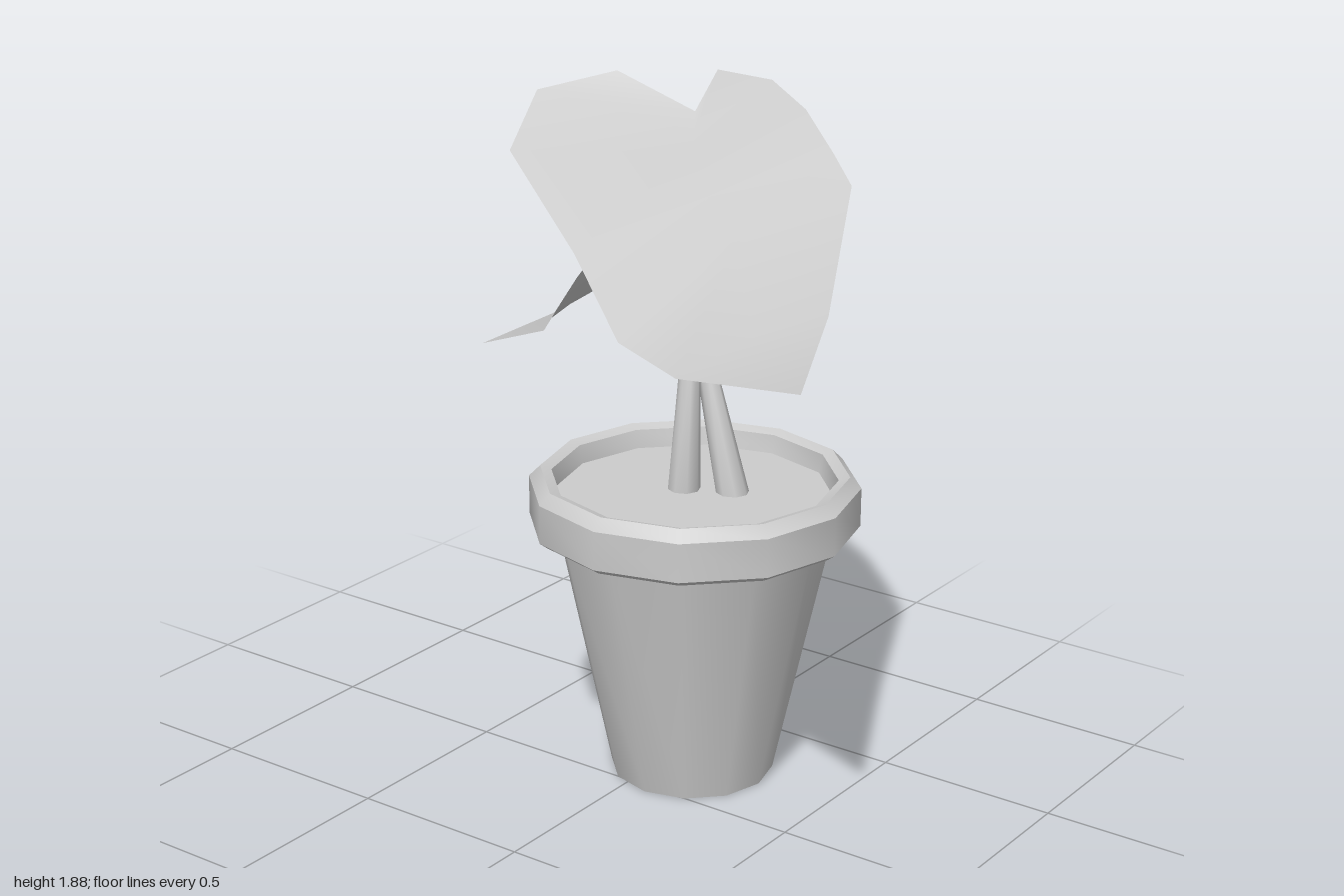
import * as THREE from 'three';
import { toCreasedNormals } from 'three/addons/utils/BufferGeometryUtils.js';

const material = new THREE.MeshStandardMaterial({ color: 0xcccccc, side: THREE.DoubleSide });

function addMesh(group, name, geometry) {
  const mesh = new THREE.Mesh(geometry, material);
  mesh.name = name;
  group.add(mesh);
  return mesh;
}

function indexed(positions, index) {
  const g = new THREE.BufferGeometry();
  g.setAttribute('position', new THREE.Float32BufferAttribute(positions, 3));
  g.setIndex(index);
  g.computeVertexNormals();
  return g;
}

// Twelve-sided turned part from a [radius, y] profile
function turned(profile) {
  const g = new THREE.LatheGeometry(profile.map(([r, y]) => new THREE.Vector2(r, y)), 12);
  return toCreasedNormals(g, 0.6);
}

// Bent stem: rings of [x, y, z, radius]; the last ring is square to endNormal
function stem(rings, endNormal, sides = 8) {
  const pts = rings.map(([x, y, z]) => new THREE.Vector3(x, y, z));
  const positions = [], index = [];
  pts.forEach((p, i) => {
    const last = i === pts.length - 1;
    const t = last
      ? new THREE.Vector3(...endNormal).normalize()
      : pts[i + 1].clone().sub(p).normalize();
    if (i > 0 && !last) t.add(p.clone().sub(pts[i - 1]).normalize()).normalize();
    const u = new THREE.Vector3(0, 0, 1).cross(t).normalize();
    const v = t.clone().cross(u);
    for (let j = 0; j < sides; j++) {
      const a = (j / sides) * Math.PI * 2;
      const q = p.clone()
        .addScaledVector(u, Math.cos(a) * rings[i][3])
        .addScaledVector(v, Math.sin(a) * rings[i][3]);
      positions.push(q.x, q.y, q.z);
      if (last) continue;
      const k = (j + 1) % sides, b = i * sides, c = b + sides;
      index.push(b + j, b + k, c + k, b + j, c + k, c + j);
    }
  });
  return toCreasedNormals(indexed(positions, index), 0.9);
}

// Leaf blade: matching points on left edge, midrib and right edge, closed at the tip
function leaf(left, mid, right, tip) {
  const positions = [], index = [], n = mid.length;
  for (let i = 0; i < n; i++) positions.push(...left[i], ...mid[i], ...right[i]);
  positions.push(...tip);
  for (let i = 0; i < n; i++) {
    for (let s = 0; s < 2; s++) {
      const a = i * 3 + s, b = a + 1;
      if (i === n - 1) index.push(a, n * 3, b);
      else index.push(a, a + 3, b, b, a + 3, b + 3);
    }
  }
  return indexed(positions, index);
}

export function createModel() {
  const plant = new THREE.Group();
  plant.name = 'pottedPlant';

  // Pot with a thick bevelled rim, and the soil inside
  const pot = new THREE.Group();
  pot.name = 'pot';
  pot.position.set(0.07, 0, -0.19);
  plant.add(pot);
  addMesh(pot, 'potBody', turned([[0, 0], [0.22, 0], [0.37, 0.7]]));
  addMesh(pot, 'potRim', turned([
    [0.365, 0.7], [0.42, 0.7], [0.44, 0.715], [0.44, 0.82],
    [0.41, 0.85], [0.38, 0.84], [0.37, 0.79],
  ]));
  addMesh(pot, 'soil', turned([[0.375, 0.79], [0, 0.79]]));

  // Stems, each flaring where it meets its leaf
  addMesh(plant, 'lowerStem', stem([
    [0.03, 0.78, -0.2, 0.044], [0.045, 1.18, -0.205, 0.026], [0.01, 1.29, -0.245, 0.022],
    [-0.12, 1.405, -0.335, 0.02], [-0.175, 1.465, -0.355, 0.09],
  ], [-0.63, 0.74, 0.25]));
  addMesh(plant, 'upperStem', stem([
    [0.15, 0.78, -0.255, 0.044], [0.065, 1.13, -0.245, 0.027], [-0.08, 1.33, -0.215, 0.019],
    [0.03, 1.675, -0.21, 0.018], [0.05, 1.72, -0.2, 0.075],
  ], [-0.06, 0.91, 0.4]));

  // Large upper leaf
  addMesh(plant, 'upperLeaf', leaf(
    [[-0.27, 1.855, -0.31], [-0.45, 1.8, -0.2], [-0.4, 1.68, -0.02],
      [0, 1.53, 0.23], [0.23, 1.38, 0.36], [0.47, 1.365, 0.46]],
    [[-0.035, 1.775, -0.33], [0.02, 1.745, -0.25], [0.09, 1.725, -0.14],
      [0.25, 1.67, 0.02], [0.4, 1.59, 0.13], [0.62, 1.47, 0.35]],
    [[0, 1.88, -0.38], [0.155, 1.87, -0.4], [0.31, 1.83, -0.32],
      [0.47, 1.765, -0.2], [0.58, 1.72, -0.11], [0.75, 1.515, 0.25]],
    [1, 1.515, 0.75],
  ));

  // Drooping lower leaf
  addMesh(plant, 'lowerLeaf', leaf(
    [[-0.075, 1.71, -0.46], [-0.12, 1.695, -0.65], [-0.17, 1.6, -0.685],
      [-0.34, 1.47, -0.72], [-0.55, 1.16, -0.76], [-0.77, 1.01, -0.69]],
    [[-0.09, 1.57, -0.36], [-0.13, 1.52, -0.36], [-0.2, 1.465, -0.37],
      [-0.32, 1.38, -0.44], [-0.5, 1.18, -0.52], [-0.7, 1.03, -0.56]],
    [[-0.065, 1.58, -0.24], [-0.065, 1.535, -0.085], [-0.08, 1.485, 0.02],
      [-0.3, 1.32, -0.17], [-0.44, 1.19, -0.27], [-0.61, 1.05, -0.42]],
    [-1, 0.885, -0.62],
  ));

  return plant;
}
